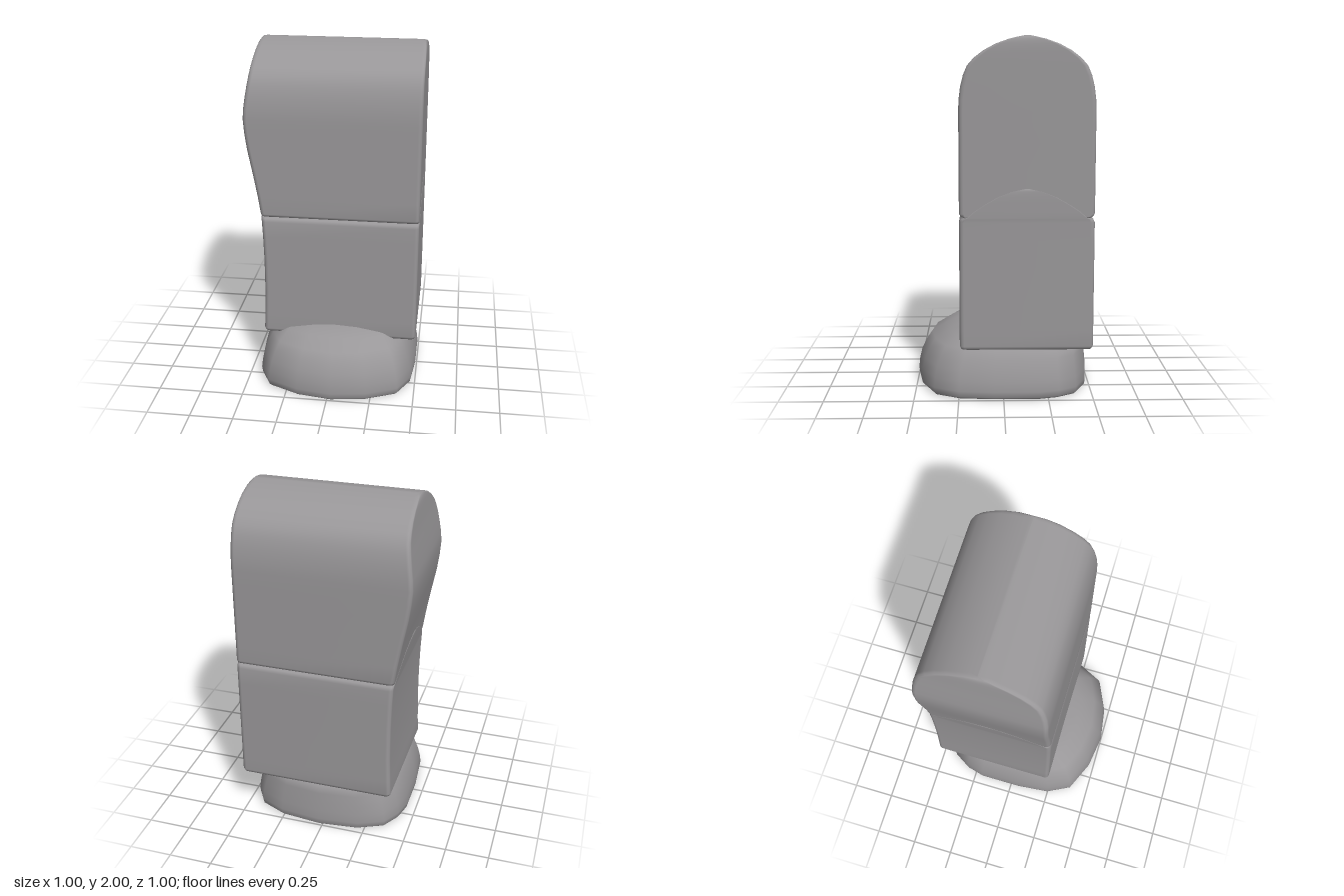
import * as THREE from 'three';

// Skin a stack of closed rings (each running from +x towards +z) and cap both ends.
function loft(rings) {
  const n = rings[0].length, pos = [], idx = [];
  rings.forEach(r => r.forEach(p => pos.push(...p)));
  for (let i = 0; i < rings.length - 1; i++) {
    for (let j = 0; j < n; j++) {
      const a = i * n + j, b = i * n + (j + 1) % n, c = a + n, d = b + n;
      idx.push(a, c, b, b, c, d);
    }
  }
  const centre = r => [0, 1, 2].map(k => r.reduce((s, p) => s + p[k], 0) / n);
  const last = (rings.length - 1) * n, bottom = rings.length * n, top = bottom + 1;
  pos.push(...centre(rings[0]), ...centre(rings[rings.length - 1]));
  for (let j = 0; j < n; j++) {
    const k = (j + 1) % n;
    idx.push(bottom, j, k, top, last + k, last + j);
  }
  const g = new THREE.BufferGeometry();
  g.setAttribute('position', new THREE.Float32BufferAttribute(pos, 3));
  g.setIndex(idx);
  g.computeVertexNormals();
  return g;
}

// Rounded rectangle cross-section of a leg segment
const LEG_Z = -0.126;
function legRing([y, half, x0, x1]) {
  const r = Math.min(0.025, half * 0.5), ring = [];
  const corners = [[x1 - r, half - r], [x0 + r, half - r], [x0 + r, r - half], [x1 - r, r - half]];
  corners.forEach(([cx, cz], q) => {
    for (let s = 0; s <= 3; s++) {
      const a = (q + s / 3) * Math.PI / 2;
      ring.push([cx + r * Math.cos(a), y, LEG_Z + cz + r * Math.sin(a)]);
    }
  });
  return ring;
}

// Half outline of the foot, heel to toe, in unit widths
const FOOT = [[0, -1], [0.5, -0.95], [0.81, -0.82], [0.94, -0.62], [1, -0.4],
  [1, 0.1], [0.96, 0.5], [0.81, 0.78], [0.43, 0.94], [0, 1]];
function footRing([y, w, front, back]) {
  const outline = [...FOOT, ...FOOT.slice(1, -1).reverse().map(([u, v]) => [-u, v])];
  return outline.map(([u, v]) => [0.022 + u * w, y, v * (v > 0 ? front : back)]);
}

export function createModel() {
  const grey = new THREE.MeshStandardMaterial({ color: 0x999799 });
  grey.name = 'grey';
  const model = new THREE.Group();
  model.name = 'leg';
  const add = (name, geometry) => {
    const mesh = new THREE.Mesh(geometry, grey);
    mesh.name = name;
    model.add(mesh);
  };

  // Thigh: bulging outer side and an arched top; rows are y, half depth, x range
  add('upperLeg', loft([
    [1.025, 0.345, -0.41, 0.495], [1.032, 0.36, -0.412, 0.495], [1.048, 0.369, -0.415, 0.495],
    [1.15, 0.369, -0.43, 0.495], [1.28, 0.369, -0.453, 0.495], [1.43, 0.369, -0.482, 0.495],
    [1.52, 0.369, -0.494, 0.495], [1.6, 0.369, -0.5, 0.495], [1.66, 0.367, -0.496, 0.495],
    [1.73, 0.358, -0.486, 0.495], [1.79, 0.343, -0.477, 0.495], [1.84, 0.322, -0.469, 0.495],
    [1.88, 0.287, -0.464, 0.495], [1.92, 0.235, -0.459, 0.495], [1.955, 0.17, -0.455, 0.494],
    [1.98, 0.1, -0.451, 0.491], [1.992, 0.05, -0.445, 0.485], [2.0, 0.008, -0.435, 0.475],
  ].map(legRing)));

  // Shin: its arched top lies flush with the sides of the thigh
  add('lowerLeg', loft([
    [0.285, 0.345, -0.39, 0.472], [0.291, 0.362, -0.405, 0.489], [0.308, 0.369, -0.411, 0.495],
    [0.4, 0.369, -0.407, 0.495], [0.55, 0.369, -0.402, 0.495], [0.75, 0.369, -0.402, 0.495],
    [0.9, 0.369, -0.406, 0.495], [1.0, 0.369, -0.411, 0.495], [1.018, 0.36, -0.413, 0.496],
    [1.025, 0.345, -0.414, 0.497], [1.06, 0.305, -0.419, 0.497], [1.1, 0.245, -0.425, 0.497],
    [1.14, 0.175, -0.431, 0.497], [1.17, 0.1, -0.436, 0.496], [1.185, 0.02, -0.436, 0.495],
  ].map(legRing)));

  // Foot: rounded toe and heel; rows are y, half width, toe and heel reach
  add('foot', loft([
    [0, 0.455, 0.485, 0.485], [0.012, 0.468, 0.496, 0.497], [0.045, 0.472, 0.5, 0.5],
    [0.1, 0.465, 0.494, 0.496], [0.16, 0.45, 0.48, 0.49], [0.22, 0.428, 0.451, 0.484],
    [0.27, 0.4, 0.417, 0.478], [0.32, 0.35, 0.33, 0.42], [0.365, 0.27, 0.235, 0.3],
  ].map(footRing)));

  return model;
}
